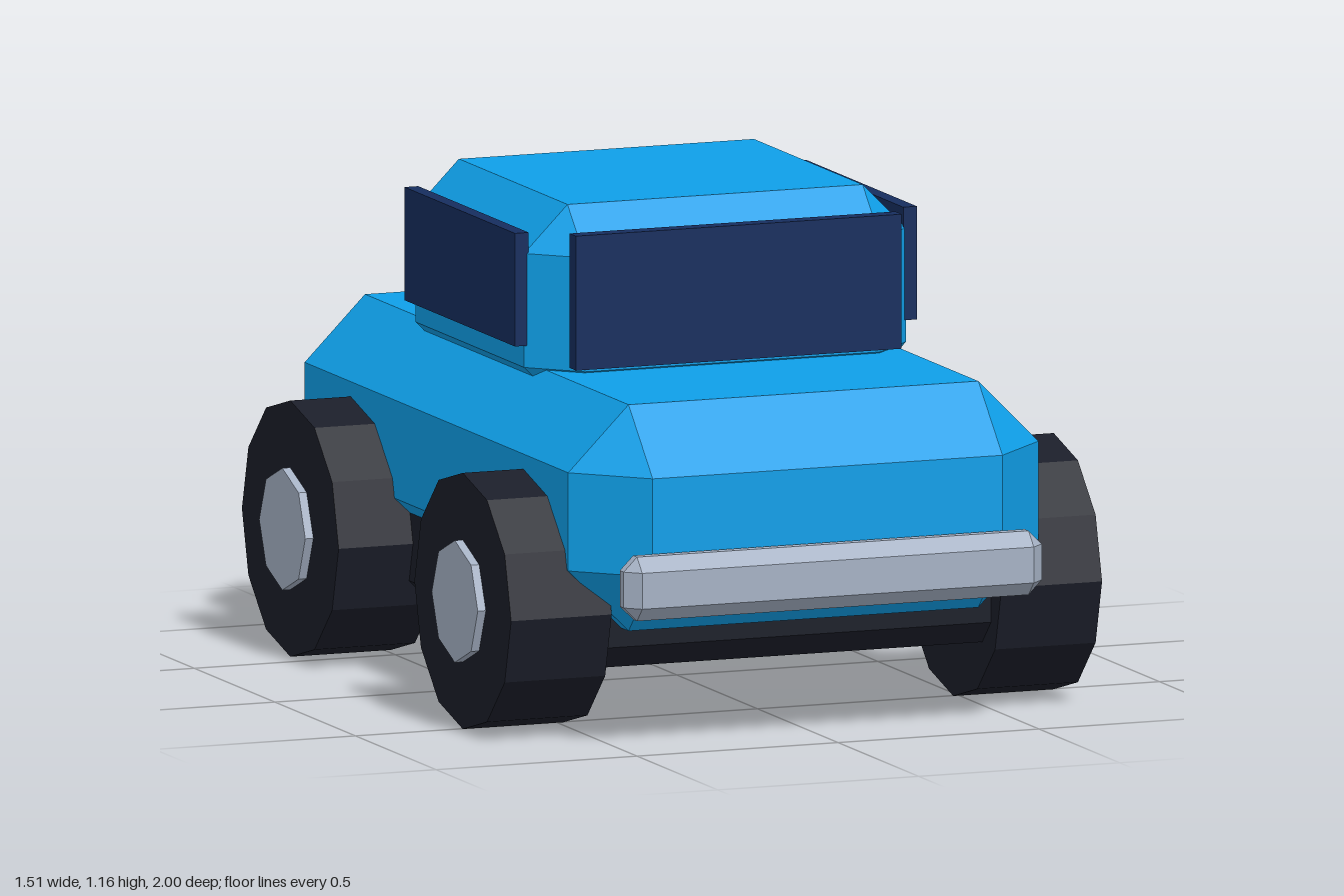
import * as THREE from 'three';
import { ConvexGeometry } from 'three/addons/geometries/ConvexGeometry.js';

const material = (color) => new THREE.MeshStandardMaterial({ color, flatShading: true });

// Box given by its min and max corners, with every edge cut back by c
function chamferBox(min, max, c) {
  const mid = min.map((v, i) => (v + max[i]) / 2);
  const half = min.map((v, i) => (max[i] - v) / 2);
  const points = [];
  for (const sx of [-1, 1]) for (const sy of [-1, 1]) for (const sz of [-1, 1]) {
    const s = [sx, sy, sz];
    // each corner becomes three points, one on each face
    for (let face = 0; face < 3; face++) {
      points.push(new THREE.Vector3(...s.map((sign, i) =>
        mid[i] + sign * (half[i] - (i === face ? 0 : c)))));
    }
  }
  return new ConvexGeometry(points);
}

export function createModel() {
  const model = new THREE.Group();
  model.name = 'car';
  const paint = material(0x0f9fe8);
  const glass = material(0x162d5e);
  const rubber = material(0x1b1e29);
  const metal = material(0xa5b1c4);

  const add = (name, geometry, mat, parent = model) => {
    const mesh = new THREE.Mesh(geometry, mat);
    mesh.name = name;
    parent.add(mesh);
    return mesh;
  };

  // Body shell, cabin, underside and front bumper
  add('body', chamferBox([-0.585, 0.255, -1], [0.585, 0.785, 0.935], 0.15), paint);
  add('cabin', chamferBox([-0.475, 0.68, -0.545], [0.475, 1.163, 0.345], 0.108), paint);
  add('chassis', chamferBox([-0.55, 0.155, -0.8], [0.55, 0.45, 0.74], 0.055), rubber);
  add('frontBumper', chamferBox([-0.52, 0.31, 0.91], [0.52, 0.46, 1], 0.033), metal);

  // Window panes standing proud of the cabin
  const pane = (name, size, position) =>
    add(name, new THREE.BoxGeometry(...size), glass).position.set(...position);
  pane('windshield', [0.81, 0.315, 0.04], [0, 0.957, 0.365]);
  pane('rearWindow', [0.77, 0.275, 0.036], [0, 0.927, -0.564]);

  for (const [side, s] of [['left', 1], ['right', -1]]) {
    pane(side + 'Window', [0.034, 0.265, 0.685], [s * 0.483, 0.972, -0.1]);

    // Twelve-sided tyres with eight-sided hubs
    for (const [end, z] of [['Front', 0.505], ['Rear', -0.565]]) {
      const wheel = new THREE.Group();
      wheel.name = side + end + 'Wheel';
      wheel.position.set(s * 0.61, 0.3, z);
      wheel.rotation.z = -s * Math.PI / 2;
      add('tyre', new THREE.CylinderGeometry(0.3, 0.3, 0.25, 12), rubber, wheel);
      add('hub', new THREE.CylinderGeometry(0.143, 0.143, 0.06, 8), metal, wheel)
        .position.y = 0.115;
      model.add(wheel);
    }
  }
  return model;
}
